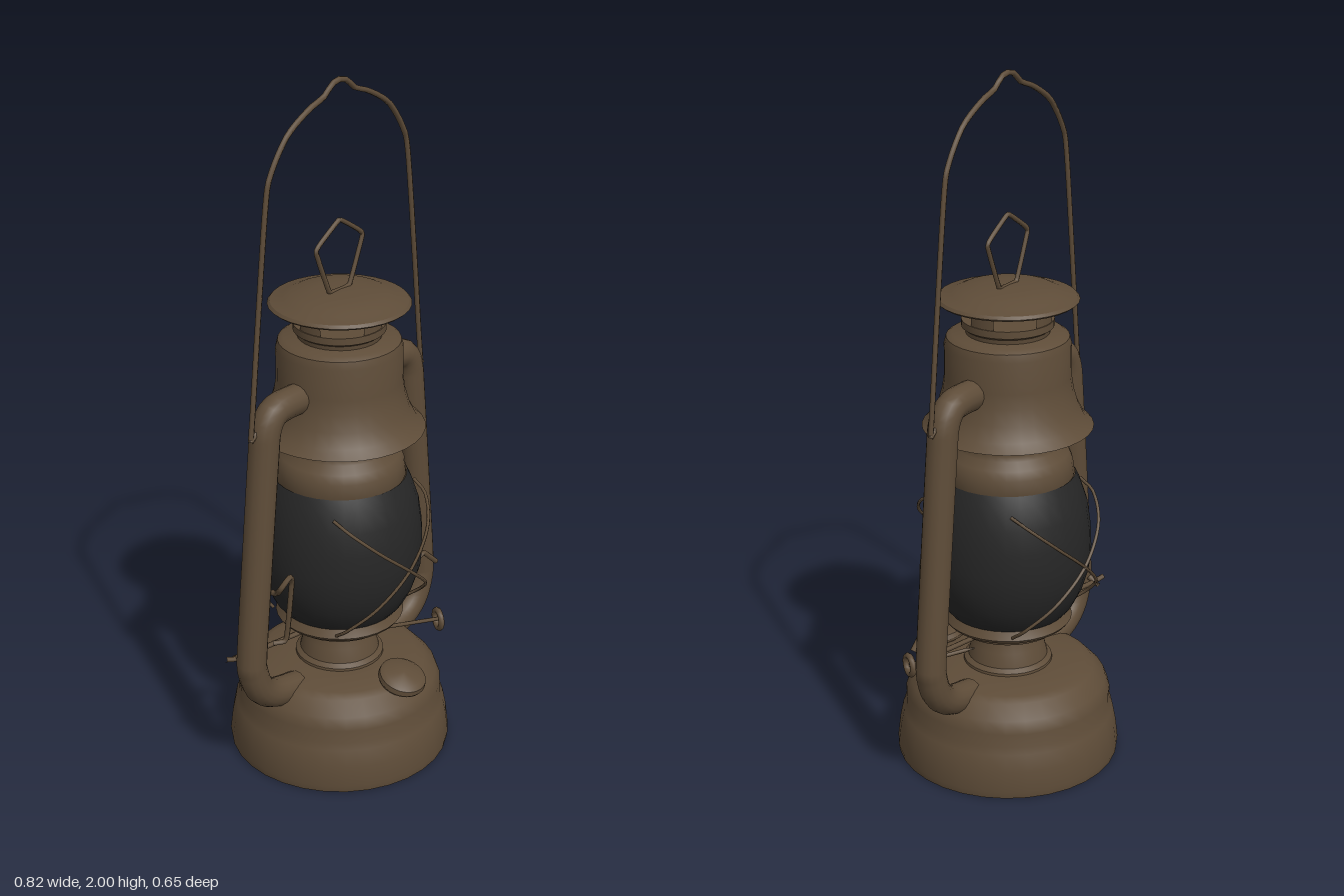
import * as THREE from 'three';
import { toCreasedNormals } from 'three/addons/utils/BufferGeometryUtils.js';

const metal = new THREE.MeshStandardMaterial({ color: 0x5e4c38 });
metal.name = 'aged brown metal';
const glass = new THREE.MeshStandardMaterial({ color: 0x262626 });
glass.name = 'dark glass';

export function createModel() {
  const group = new THREE.Group();
  group.name = 'lantern';

  const add = (name, geometry, material = metal) => {
    const mesh = new THREE.Mesh(geometry, material);
    mesh.name = name;
    group.add(mesh);
    return mesh;
  };
  // Revolved part from [radius, height] pairs, listed bottom to top
  const turned = (name, profile, material) => {
    const pts = profile.map(([r, y]) => new THREE.Vector2(r, y));
    return add(name, toCreasedNormals(new THREE.LatheGeometry(pts, 32), 0.6), material);
  };
  // Round rod along a path; tension 0 keeps the bends crisp
  const rod = (name, points, radius, { closed = false, tension = 0.5, steps = 48, sides = 6 } = {}) => {
    const path = new THREE.CatmullRomCurve3(
      points.map((p) => new THREE.Vector3(...p)), closed, 'catmullrom', tension);
    return add(name, new THREE.TubeGeometry(path, steps, radius, sides, closed));
  };

  // Fuel tank
  turned('fuelTank', [[0, 0], [0.322, 0], [0.325, 0.02], [0.318, 0.08], [0.308, 0.13],
    [0.298, 0.15], [0.298, 0.19], [0.285, 0.225], [0.25, 0.262], [0.225, 0.272],
    [0.15, 0.282], [0, 0.285]]);

  // Burner and the plate that carries the globe
  turned('burner', [[0.13, 0.27], [0.128, 0.29], [0.115, 0.30], [0.105, 0.34], [0.085, 0.39], [0.085, 0.42]]);
  turned('globePlate', [[0, 0.395], [0.15, 0.395], [0.155, 0.41], [0.178, 0.415], [0.185, 0.425],
    [0.178, 0.437], [0.172, 0.45], [0, 0.45]]);

  // Globe
  turned('globe', [[0.165, 0.44], [0.19, 0.47], [0.215, 0.52], [0.233, 0.58], [0.238, 0.64],
    [0.235, 0.71], [0.225, 0.78], [0.205, 0.84], [0.19, 0.87]], glass);

  // Collar, hood and vent neck
  turned('collar', [[0, 0.85], [0.182, 0.855], [0.188, 0.87], [0.182, 0.91], [0.172, 0.935],
    [0.15, 0.955], [0.146, 0.97], [0.146, 1.06]]);
  turned('hood', [[0.14, 1.05], [0.185, 1.05], [0.235, 1.01], [0.24, 1.012], [0.215, 1.035],
    [0.195, 1.075], [0.182, 1.12], [0.176, 1.16], [0.176, 1.25], [0.17, 1.272],
    [0.155, 1.282], [0, 1.285]]);
  turned('ventNeck', [[0.115, 1.275], [0.118, 1.295], [0.128, 1.302], [0.128, 1.322], [0, 1.322]]);

  // Four posts leave open windows below the cap
  for (let i = 0; i < 4; i++) {
    const half = 0.3;
    const post = new THREE.CylinderGeometry(0.125, 0.125, 0.07, 4, 1, true, i * Math.PI / 2 - half, half * 2);
    const inner = post.clone().scale(-0.95, 1, 0.95);
    add('ventPost', post).position.y = 1.35;
    // Mirrored copy faces inward
    const back = add('ventPostInside', inner);
    back.position.y = 1.35;
    const index = inner.index.array;
    // Scaling by -1 already flips the winding, so only the normals need recomputing
    if (index.length) inner.computeVertexNormals();
  }
  turned('cap', [[0, 1.368], [0.13, 1.368], [0.19, 1.372], [0.197, 1.378], [0.19, 1.386],
    [0.155, 1.395], [0.13, 1.406], [0.07, 1.413], [0, 1.416]]);

  // Five-sided lifting ring on the cap
  rod('capRing', [[-0.04, 1.415, 0], [-0.094, 1.545, 0], [-0.075, 1.565, 0], [0, 1.612, 0],
    [0.075, 1.565, 0], [0.094, 1.545, 0], [0.04, 1.415, 0]], 0.007,
  { closed: true, tension: 0.1, steps: 70 });

  // Side air tubes with a bail hook on each
  for (const s of [-1, 1]) {
    rod('airTube', [[0.15, 1.148, 0], [0.235, 1.148, 0], [0.275, 1.135, 0], [0.298, 1.095, 0],
      [0.308, 1.02, 0], [0.338, 0.73, 0], [0.367, 0.44, 0], [0.366, 0.375, 0], [0.34, 0.31, 0],
      [0.285, 0.268, 0], [0.19, 0.245, 0]].map(([x, y, z]) => [s * x, y, z]), 0.043,
    { steps: 64, sides: 14 });
    rod('bailHook', [[0.30, 1.12, 0], [0.335, 1.10, 0], [0.358, 1.085, 0]]
      .map(([x, y, z]) => [s * x, y, z]), 0.009, { steps: 8 });
  }

  // Carrying bail with a raised grip in the middle
  const bailHalf = [[0.355, 1.085], [0.345, 1.17], [0.315, 1.45], [0.282, 1.73], [0.262, 1.80],
    [0.215, 1.87], [0.175, 1.905], [0.11, 1.94], [0.06, 1.958], [0.03, 1.984]];
  rod('bail', [...bailHalf.map(([x, y]) => [-x, y, 0]), [0, 1.992, 0],
    ...bailHalf.slice().reverse().map(([x, y]) => [x, y, 0])], 0.008, { steps: 90 });

  // Crossed guard wires, front and back
  for (const side of [-1, 1]) {
    for (const s of [-1, 1]) {
      rod('globeGuard', [[-0.172, 0.82, 0.13], [-0.16, 0.79, 0.185], [-0.1, 0.725, 0.24],
        [0, 0.64, 0.262], [0.1, 0.555, 0.236], [0.16, 0.485, 0.175], [0.15, 0.44, 0.12]]
        .map(([x, y, z]) => [s * x, y, side * z]), 0.005, { steps: 32, sides: 5 });
    }
  }

  // Globe lifting rod, cranked up into a thumb lever
  rod('liftLever', [[-0.40, 0.40, -0.072], [-0.36, 0.392, -0.06], [0, 0.392, 0.0],
    [0.245, 0.392, 0.045], [0.258, 0.41, 0.048], [0.275, 0.47, 0.052], [0.315, 0.492, 0.056],
    [0.345, 0.465, 0.06], [0.372, 0.44, 0.06]], 0.008, { tension: 0.15, steps: 80 });
  rod('liftRodEnd', [[-0.365, 0.385, -0.078], [-0.365, 0.405, -0.045]], 0.009, { steps: 4 });

  // Wire latch beside the right tube
  rod('wireLatch', [[-0.325, 0.465, 0.04], [-0.297, 0.468, 0.06], [-0.292, 0.5, 0.065],
    [-0.294, 0.66, 0.085], [-0.318, 0.695, 0.1], [-0.343, 0.665, 0.09], [-0.318, 0.625, 0.05],
    [-0.315, 0.62, 0.03]], 0.008, { tension: 0.3 });

  // Wick shaft and ring knob
  rod('wickShaft', [[0.07, 0.33, 0.045], [0.27, 0.322, 0.155]], 0.006, { steps: 4 });
  const knob = add('wickKnob', new THREE.TorusGeometry(0.028, 0.009, 6, 16));
  knob.position.set(0.268, 0.322, 0.155);
  knob.rotation.y = 1.05;

  // Filler neck and tilted screw cap
  const filler = turned('fillerCap', [[0.045, -0.06], [0.045, 0], [0.066, 0.002], [0.07, 0.01],
    [0.068, 0.024], [0.055, 0.033], [0, 0.038]]);
  filler.position.set(0, 0.268, 0.235);
  filler.rotation.x = 0.32;

  return group;
}
